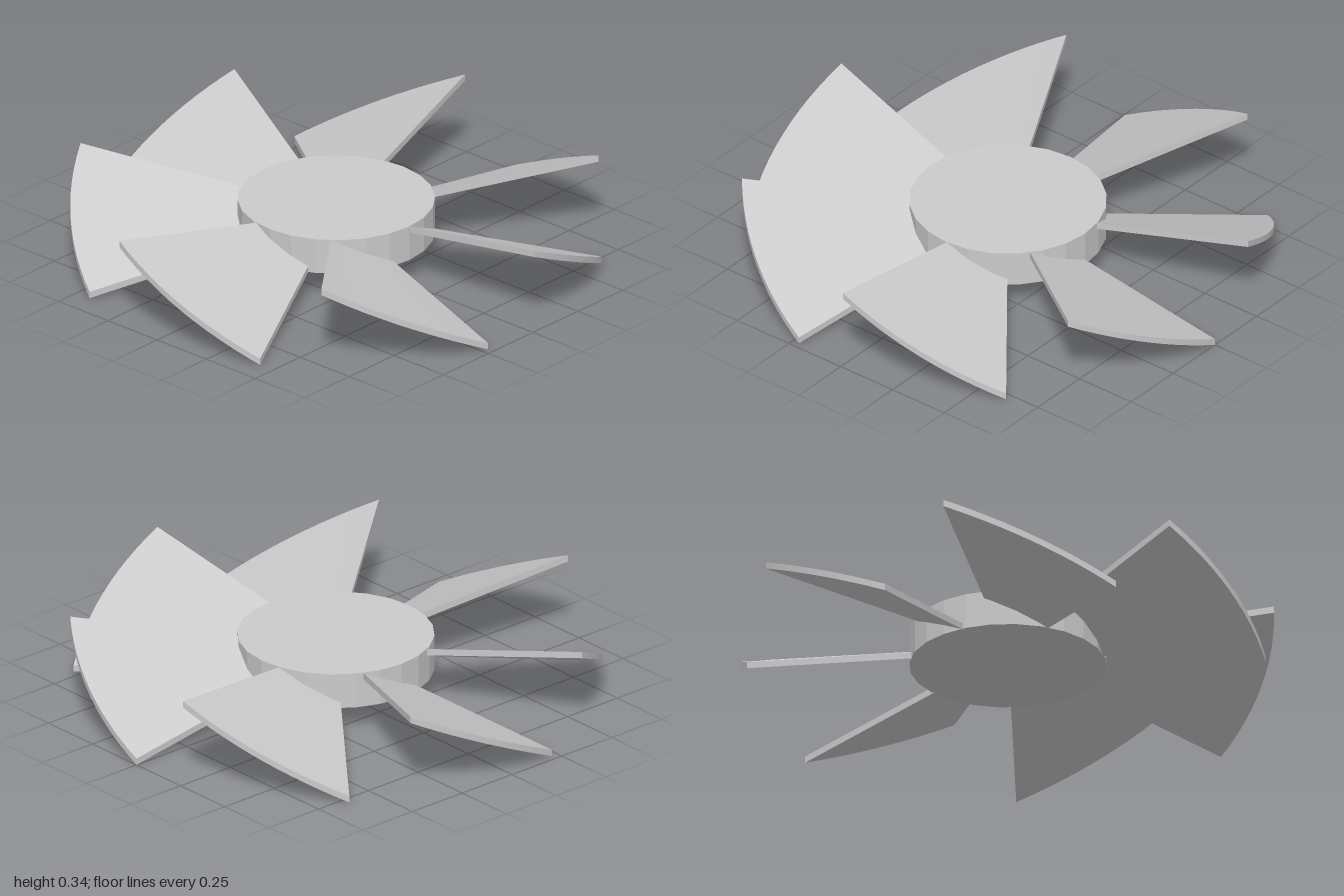
import * as THREE from 'three';

const BLADES = 7;
const SWEEP = THREE.MathUtils.degToRad(38); // angle covered by one blade
const INNER = 0.33, OUTER = 1;
const MID_Y = 0.168, PITCH = 0.155, THICK = 0.026;

// A box bent into a pitched sector: x becomes radius, z becomes angle
function bladeGeometry() {
  const geo = new THREE.BoxGeometry(1, 1, 1, 4, 1, 12);
  const p = geo.attributes.position;
  for (let i = 0; i < p.count; i++) {
    const r = INNER + (p.getX(i) + 0.5) * (OUTER - INNER);
    const t = p.getZ(i) + 0.5;
    const y = MID_Y + r * PITCH * (2 * t - 1) + p.getY(i) * THICK;
    p.setXYZ(i, r * Math.cos(t * SWEEP), y, r * Math.sin(t * SWEEP));
  }
  geo.computeVertexNormals();
  return geo;
}

export function createModel() {
  const group = new THREE.Group();
  group.name = 'fanRotor';
  const material = new THREE.MeshStandardMaterial({ color: 0xcccccc, flatShading: true });

  // Central disc
  const hub = new THREE.Mesh(new THREE.CylinderGeometry(0.372, 0.372, 0.14, 24), material);
  hub.name = 'hub';
  hub.position.y = 0.17;
  group.add(hub);

  // Ring of pitched blades
  const geo = bladeGeometry();
  for (let i = 0; i < BLADES; i++) {
    const blade = new THREE.Mesh(geo, material);
    blade.name = `blade${i + 1}`;
    blade.rotation.y = -i * Math.PI * 2 / BLADES;
    group.add(blade);
  }
  return group;
}
